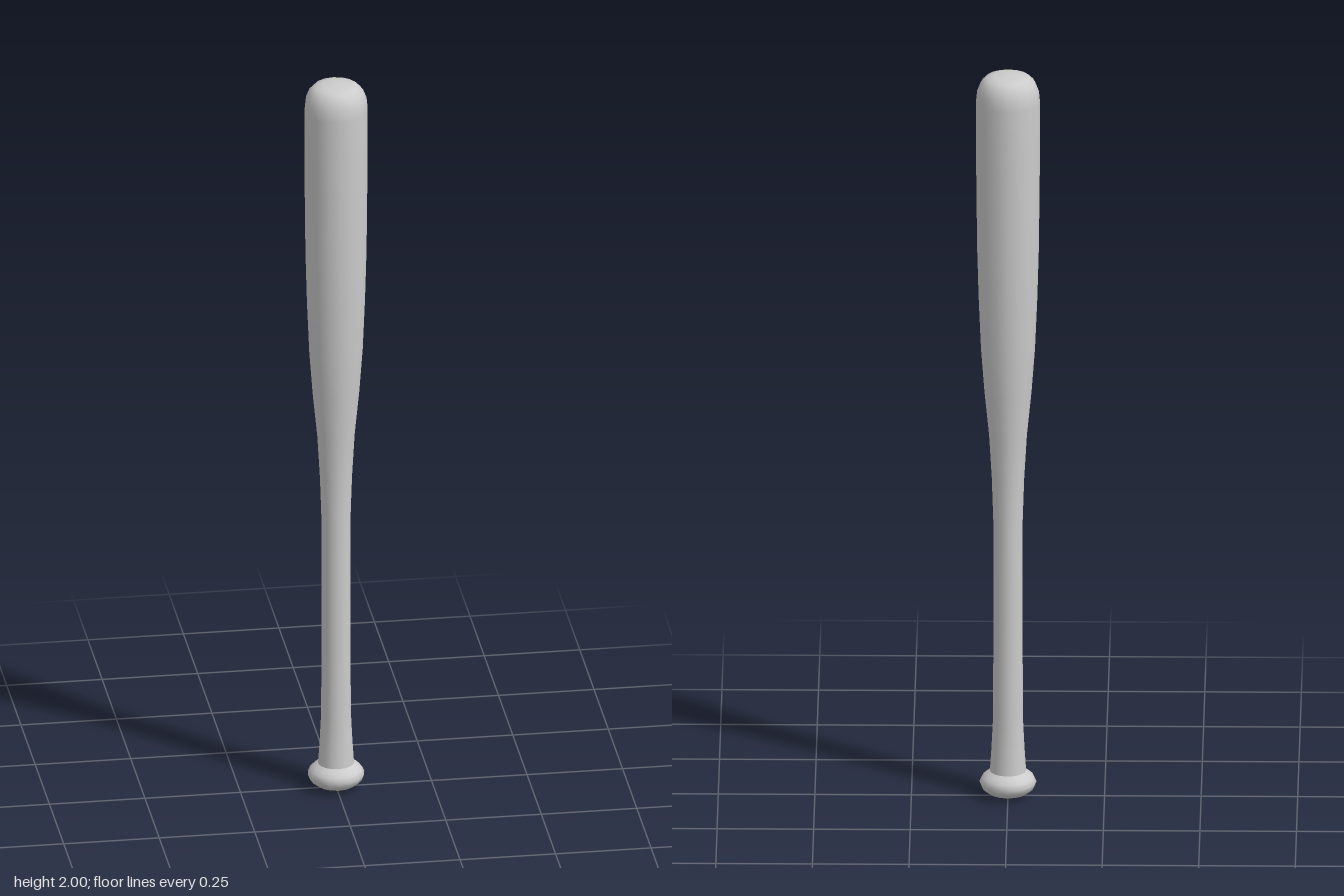
import * as THREE from 'three';

const SIDES = 16;

// Turned part from [radius, height] pairs, listed bottom to top
function turned(name, profile, material) {
  const points = profile.map(([r, y]) => new THREE.Vector2(r, y));
  const mesh = new THREE.Mesh(new THREE.LatheGeometry(points, SIDES), material);
  mesh.name = name;
  return mesh;
}

export function createModel() {
  const group = new THREE.Group();
  group.name = 'bat';
  const material = new THREE.MeshStandardMaterial({ color: 0xcccccc });

  // Rounded knob at the foot of the handle
  group.add(turned('knob', [
    [0, 0], [0.03, 0.004], [0.052, 0.011], [0.068, 0.024], [0.074, 0.04],
    [0.068, 0.053], [0.058, 0.062], [0.047, 0.07],
  ], material));

  // Flared grip and slim handle
  const handle = [[0.047, 0.07], [0.043, 0.13], [0.039, 0.21], [0.038, 0.4], [0.038, 0.76]];
  // Taper into the barrel
  const taper = [[0.042, 0.88], [0.049, 1.0], [0.061, 1.12], [0.07, 1.24], [0.076, 1.38], [0.08, 1.52]];
  // Barrel with a rounded end
  const barrel = [
    [0.082, 1.7], [0.083, 1.8], [0.083, 1.925], [0.08, 1.955], [0.071, 1.978],
    [0.057, 1.992], [0.036, 1.998], [0, 2],
  ];
  group.add(turned('handleAndBarrel', [...handle, ...taper, ...barrel], material));

  return group;
}
